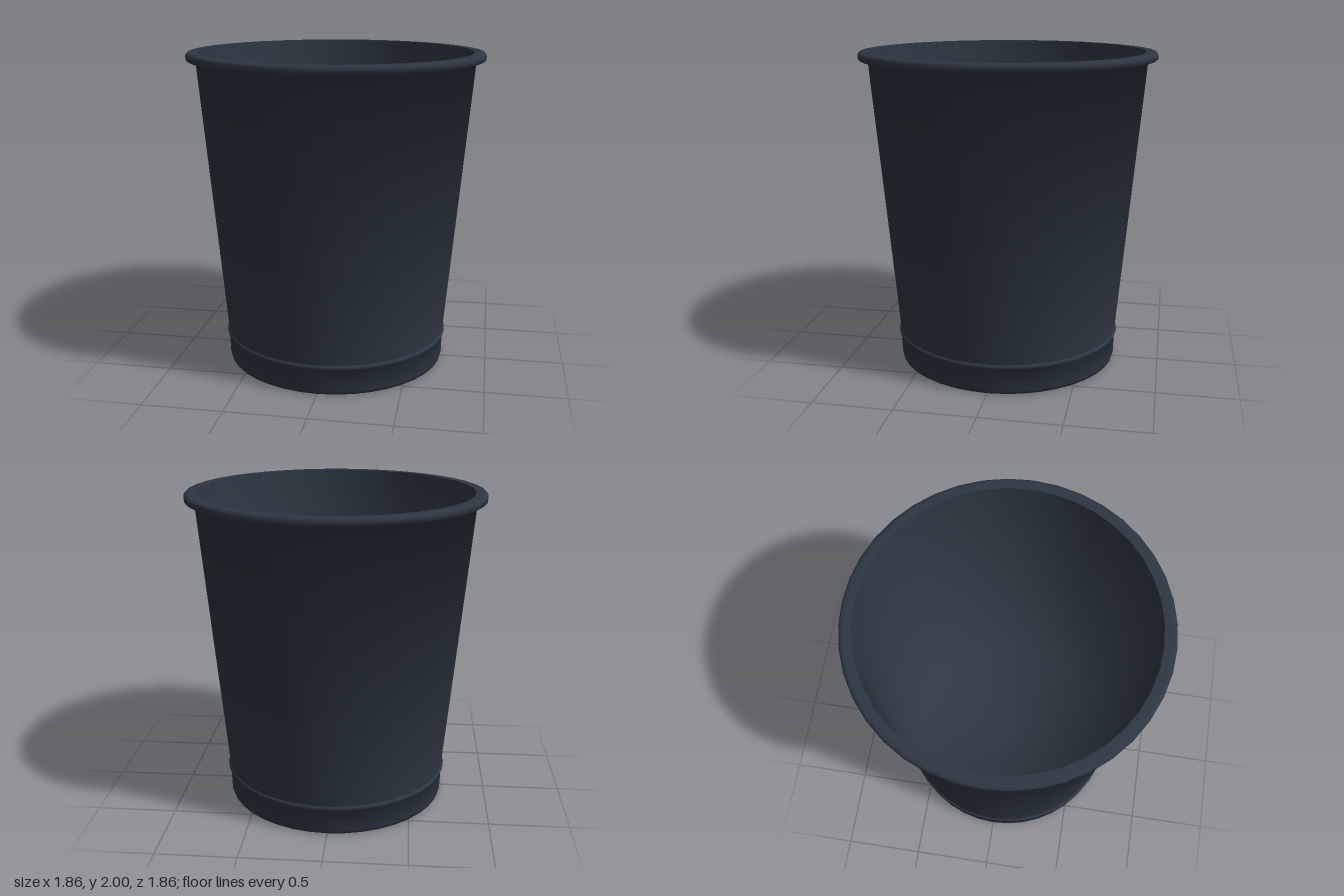
import * as THREE from 'three';

const SIDES = 40;
const plastic = new THREE.MeshStandardMaterial({ color: 0x2d3642 });
plastic.name = 'dark slate plastic';

// Revolves a profile; each corner normal is the even blend of its two neighbouring faces
function revolve(name, profile) {
  const points = profile.map(([r, y]) => new THREE.Vector2(r, y));
  const geometry = new THREE.LatheGeometry(points, SIDES);
  const faces = points.slice(1).map((p, i) =>
    new THREE.Vector2(p.y - points[i].y, points[i].x - p.x).normalize());
  const corners = points.map((p, i) => {
    const n = new THREE.Vector2();
    if (i > 0) n.add(faces[i - 1]);
    if (i < faces.length) n.add(faces[i]);
    return p.x === 0 ? n.set(0, Math.sign(n.y)) : n.normalize();
  });
  const normal = geometry.attributes.normal;
  for (let s = 0; s <= SIDES; s++) {
    const a = (s / SIDES) * Math.PI * 2;
    corners.forEach((n, j) =>
      normal.setXYZ(s * corners.length + j, n.x * Math.sin(a), n.y, n.x * Math.cos(a)));
  }
  const mesh = new THREE.Mesh(geometry, plastic);
  mesh.name = name;
  return mesh;
}

export function createModel() {
  const bin = new THREE.Group();
  bin.name = 'wasteBin';
  bin.add(
    // Flat underside
    revolve('underside', [[0, 0], [0.69, 0]]),
    // Foot band with a rounded lower edge and a thin raised bead on top
    revolve('footBand', [
      [0.69, 0], [0.703, 0.008], [0.709, 0.03], [0.712, 0.165],
      [0.722, 0.172], [0.725, 0.182], [0.722, 0.192], [0.714, 0.198],
    ]),
    // Tapered outer wall, turning out under the rim
    revolve('outerWall', [[0.714, 0.198], [0.868, 1.95], [0.915, 1.95]]),
    // Rolled rim
    revolve('rim', [
      [0.915, 1.95], [0.927, 1.958], [0.928, 1.985], [0.918, 1.998], [0.9, 2], [0.855, 2],
    ]),
    // Inner wall flowing into the floor
    revolve('interior', [[0.855, 2], [0.685, 0.04], [0, 0.04]]),
  );
  return bin;
}
